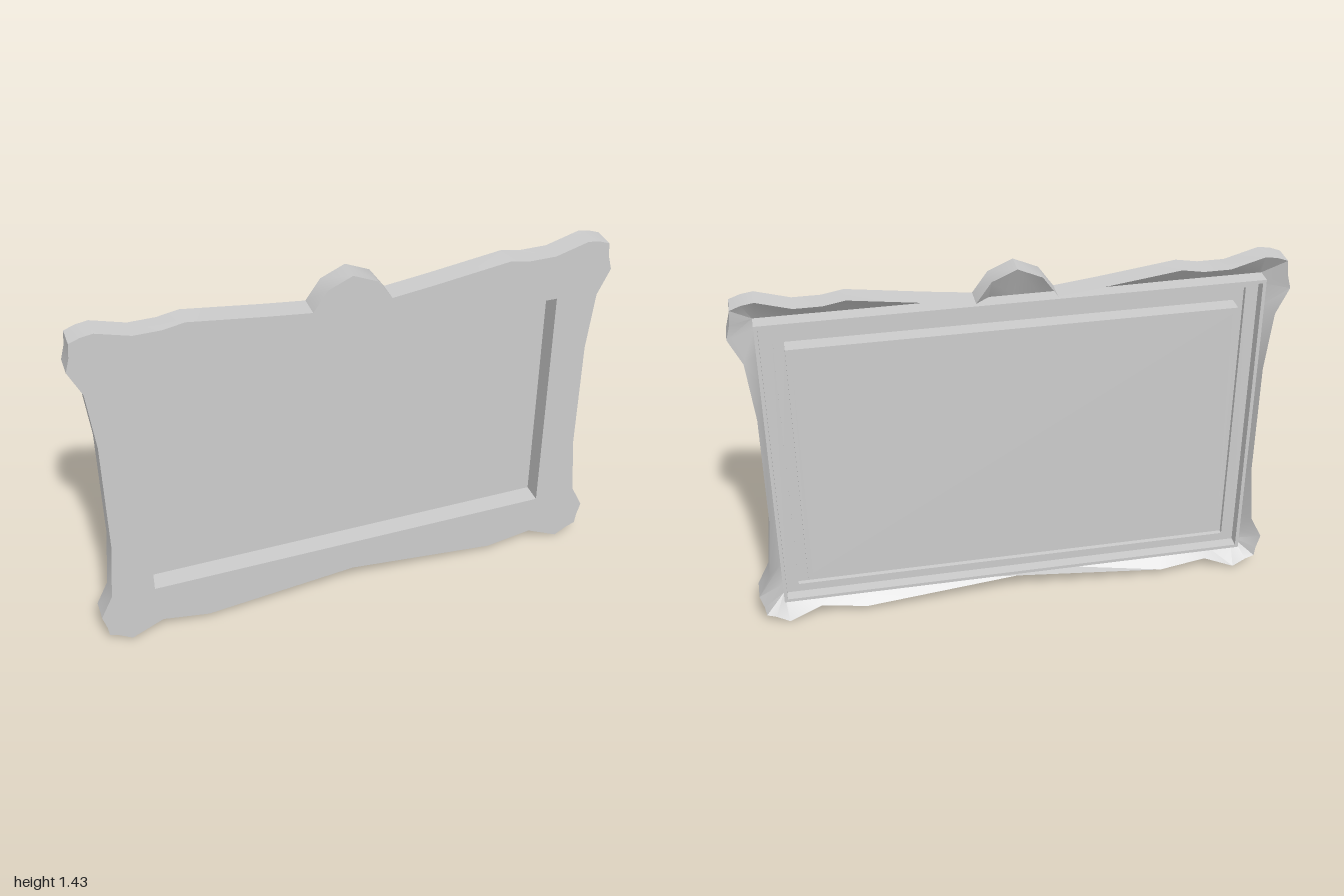
import * as THREE from 'three';
import { toCreasedNormals } from 'three/addons/utils/BufferGeometryUtils.js';

const FRONT = 0.043, BACK = -0.043, FLOOR = 0.018;
const MID_Y = 0.7;

// Right half of the scalloped silhouette, bottom centre to top centre
const HALF = [
  [0, 0.09], [0.59, 0.03], [0.77, 0.06], [0.895, 0.002], [0.945, 0.032], [0.98, 0.045],
  [0.985, 0.085], [1, 0.14], [0.953, 0.235], [0.93, 0.48], [0.93, 0.93], [0.953, 1.16],
  [1, 1.26], [0.985, 1.315], [0.98, 1.37], [0.94, 1.385], [0.895, 1.392], [0.77, 1.356],
  [0.67, 1.356], [0.59, 1.37], [0.31, 1.332], [0.145, 1.312], [0.09, 1.39], [0, 1.43],
];
const OUTLINE = [...HALF, ...HALF.slice(1, -1).reverse().map(([x, y]) => [-x, y])];

const rectPoints = (w, h) =>
  [[-w, -h], [w, -h], [w, h], [-w, h]].map(([x, y]) => new THREE.Vector2(x, y + MID_Y));

// Rectangular ring from half sizes, between two depths
function ring(outer, inner, z0, z1) {
  const shape = new THREE.Shape(rectPoints(...outer));
  shape.holes.push(new THREE.Path(rectPoints(...inner).reverse()));
  const geo = new THREE.ExtrudeGeometry(shape, { depth: z1 - z0, bevelEnabled: false });
  return geo.translate(0, 0, z0);
}

// Closed loops of points joined into a band
function band(rows) {
  const pos = [], n = rows[0].length;
  for (let j = 0; j < rows.length - 1; j++) {
    for (let i = 0; i < n; i++) {
      const k = (i + 1) % n;
      const a = rows[j][i], b = rows[j + 1][i], c = rows[j + 1][k], d = rows[j][k];
      pos.push(...a, ...b, ...c, ...a, ...c, ...d);
    }
  }
  const geo = new THREE.BufferGeometry();
  geo.setAttribute('position', new THREE.Float32BufferAttribute(pos, 3));
  return toCreasedNormals(geo, 0.6);
}

export function createModel() {
  const group = new THREE.Group();
  const grey = new THREE.MeshStandardMaterial({ color: 0xcccccc });
  const thin = new THREE.MeshStandardMaterial({ color: 0xcccccc, side: THREE.DoubleSide });
  const add = (name, geo, mat = grey) => {
    const mesh = new THREE.Mesh(geo, mat);
    mesh.name = name;
    group.add(mesh);
    return mesh;
  };

  const opening = [0.79, 0.476], box = [0.81, 0.5];
  const rimOuter = [0.908, 0.602], rimInner = [0.895, 0.589], ledge = [0.848, 0.555];

  // Flat front face with the picture opening
  const face = new THREE.Shape(OUTLINE.map(([x, y]) => new THREE.Vector2(x, y)));
  face.holes.push(new THREE.Path(rectPoints(...opening).reverse()));
  add('frontFace', new THREE.ShapeGeometry(face).translate(0, 0, FRONT));

  // Outer wall, then the hollow back sloping in to the backing rim
  const clamp = THREE.MathUtils.clamp;
  add('outerEdge', band([
    OUTLINE.map(([x, y]) => [x, y, FRONT]),
    OUTLINE.map(([x, y]) => [x, y, BACK]),
    OUTLINE.map(([x, y]) => [
      clamp(x, -rimOuter[0], rimOuter[0]),
      clamp(y, MID_Y - rimOuter[1], MID_Y + rimOuter[1]), FLOOR]),
  ]), thin);

  // Stepped backing: thin rim, ledge and recessed floor
  add('backRim', ring(rimOuter, rimInner, BACK, FLOOR));
  add('backLedge', ring(rimInner, ledge, 0, FLOOR));
  add('backFloor', ring(rimOuter, box, FLOOR, FRONT - 0.001));

  // Picture box: side walls of the opening and the panel closing it
  add('pictureBoxWalls', ring(box, opening, BACK, FRONT - 0.0005));
  const panel = add('picturePanel', new THREE.BoxGeometry(2 * opening[0], 2 * opening[1], 0.006));
  panel.position.set(0, MID_Y, BACK + 0.003);

  return group;
}
